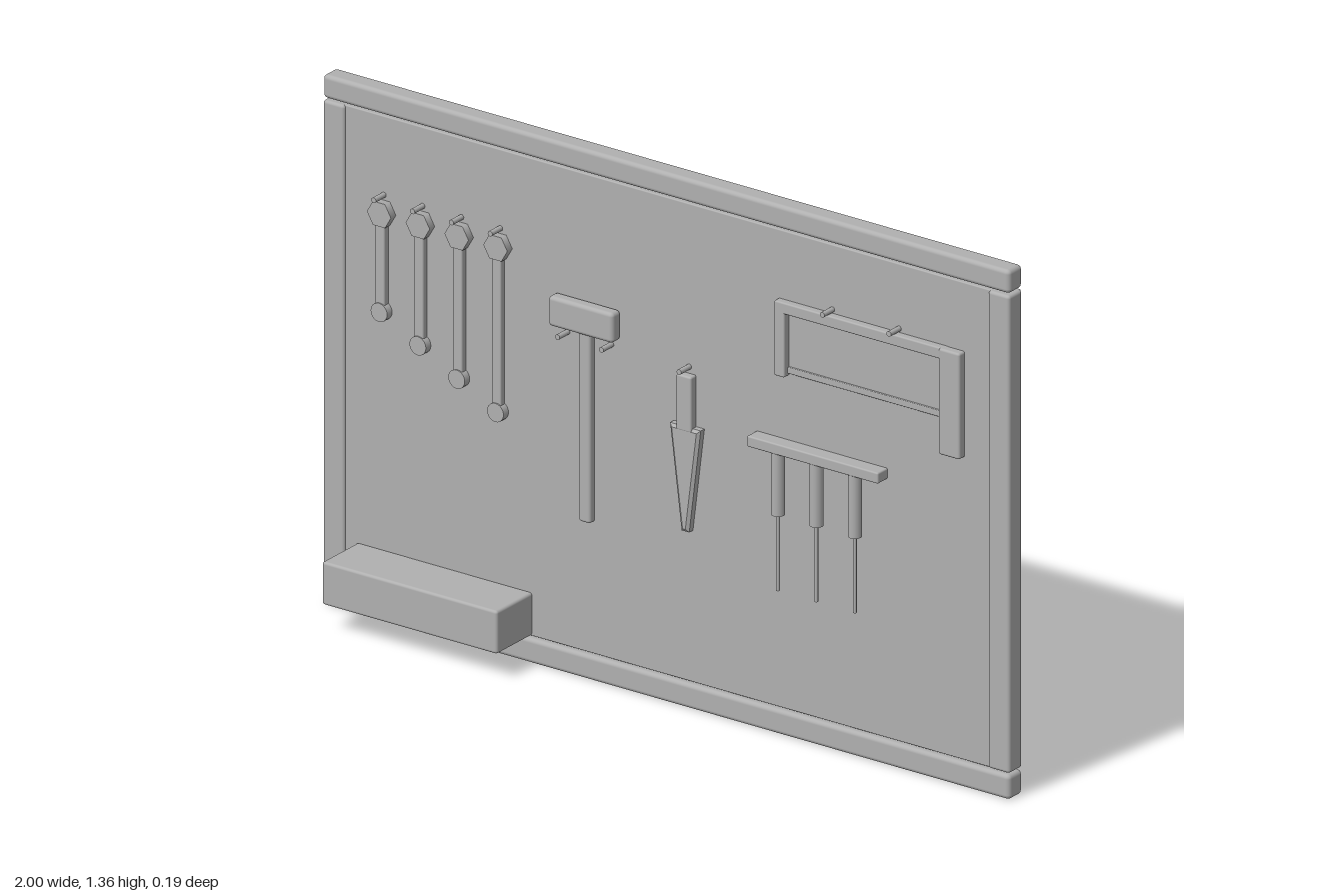
import * as THREE from 'three';
import { RoundedBoxGeometry } from 'three/addons/geometries/RoundedBoxGeometry.js';

export function createModel() {
  const root = new THREE.Group();
  root.name = 'toolBoard';
  const grey = new THREE.MeshStandardMaterial({ color: 0xb0b0b0 });
  grey.name = 'plain grey';

  const add = (name, geometry, parent = root) => {
    const mesh = new THREE.Mesh(geometry, grey);
    mesh.name = name;
    parent.add(mesh);
    return mesh;
  };
  const group = (name) => {
    const g = new THREE.Group();
    g.name = name;
    root.add(g);
    return g;
  };
  // Softened box given by its limits on each axis
  const box = (name, [x0, x1], [y0, y1], [z0, z1], r = 0.005, parent = root) => {
    const g = new RoundedBoxGeometry(x1 - x0, y1 - y0, z1 - z0, 2, r);
    g.translate((x0 + x1) / 2, (y0 + y1) / 2, (z0 + z1) / 2);
    return add(name, g, parent);
  };
  // Disc or prism whose axis points forward
  const disc = (name, x, y, r, z0, z1, sides, parent) => {
    const g = new THREE.CylinderGeometry(r, r, z1 - z0, sides);
    g.rotateY(Math.PI / 2).rotateX(Math.PI / 2);
    g.translate(x, y, (z0 + z1) / 2);
    return add(name, g, parent);
  };
  const peg = (x, y, parent) => disc('peg', x, y, 0.007, -0.055, -0.007, 10, parent);

  // Board and frame
  box('backPanel', [-0.995, 0.995], [0.068, 1.292], [-0.095, -0.048], 0.003);
  box('topRail', [-1, 1], [1.297, 1.357], [-0.095, -0.041], 0.011);
  box('bottomRail', [-1, 1], [0, 0.063], [-0.095, -0.041], 0.011);
  for (const s of [-1, 1]) {
    const xs = [s, s * 0.937].sort((a, b) => a - b);
    box('sideStile', xs, [0.068, 1.292], [-0.094, -0.041], 0.008);
  }

  // Tray on the lower rail
  box('tray', [-0.903, -0.393], [0.07, 0.18], [-0.05, 0.095], 0.007);

  // Row of spanners, each longer than the last
  for (let i = 0; i < 4; i++) {
    const x = -0.826 + i * 0.113, end = 0.795 - i * 0.057;
    const g = group('spanner');
    disc('hexHead', x, 1.046, 0.035, -0.05, -0.028, 6, g);
    box('shank', [x - 0.0135, x + 0.0135], [end + 0.015, 1.025], [-0.05, -0.031], 0.004, g);
    disc('ringEnd', x, end, 0.024, -0.05, -0.028, 20, g);
    peg(x, 1.09, g);
  }

  // Hammer
  const hammer = group('hammer');
  box('hammerHead', [-0.324, -0.135], [0.893, 0.97], [-0.048, -0.013], 0.01, hammer);
  box('hammerHandle', [-0.244, -0.21], [0.408, 0.896], [-0.05, -0.026], 0.007, hammer);
  for (const x of [-0.291, -0.163]) peg(x, 0.874, hammer);

  // Pointed trowel with a bevelled blade
  const trowel = group('trowel');
  box('trowelHandle', [0.04, 0.084], [0.715, 0.858], [-0.05, -0.026], 0.005, trowel);
  const blade = new THREE.Shape([
    new THREE.Vector2(-0.036, 0.718), new THREE.Vector2(-0.004, 0.465),
    new THREE.Vector2(0.004, 0.465), new THREE.Vector2(0.036, 0.718),
  ]);
  const bladeGeo = new THREE.ExtrudeGeometry(blade, {
    depth: 0.016, bevelSize: 0.008, bevelThickness: 0.006, bevelSegments: 1,
  });
  bladeGeo.translate(0.063, 0, -0.049);
  add('trowelBlade', bladeGeo, trowel);
  peg(0.063, 0.874, trowel);

  // Frame saw
  const saw = group('frameSaw');
  box('sawSpine', [0.324, 0.82], [1.088, 1.117], [-0.05, -0.028], 0.004, saw);
  box('sawLeg', [0.324, 0.354], [0.925, 1.117], [-0.05, -0.028], 0.004, saw);
  box('sawBlade', [0.345, 0.82], [0.932, 0.948], [-0.05, -0.042], 0.002, saw);
  box('sawHandle', [0.805, 0.867], [0.845, 1.117], [-0.05, -0.024], 0.006, saw);
  for (const x of [0.48, 0.674]) peg(x, 1.126, saw);

  // Rack of screwdrivers
  const rack = group('screwdriverRack');
  box('rackBar', [0.259, 0.641], [0.732, 0.76], [-0.05, -0.009], 0.004, rack);
  for (const x of [0.337, 0.449, 0.561]) {
    const grip = new THREE.CylinderGeometry(0.017, 0.017, 0.165, 12);
    grip.translate(x, 0.655, -0.027);
    add('screwdriverGrip', grip, rack);
    const shaft = new THREE.CylinderGeometry(0.0045, 0.0045, 0.205, 8);
    shaft.translate(x, 0.479, -0.027);
    add('screwdriverShaft', shaft, rack);
  }

  return root;
}
